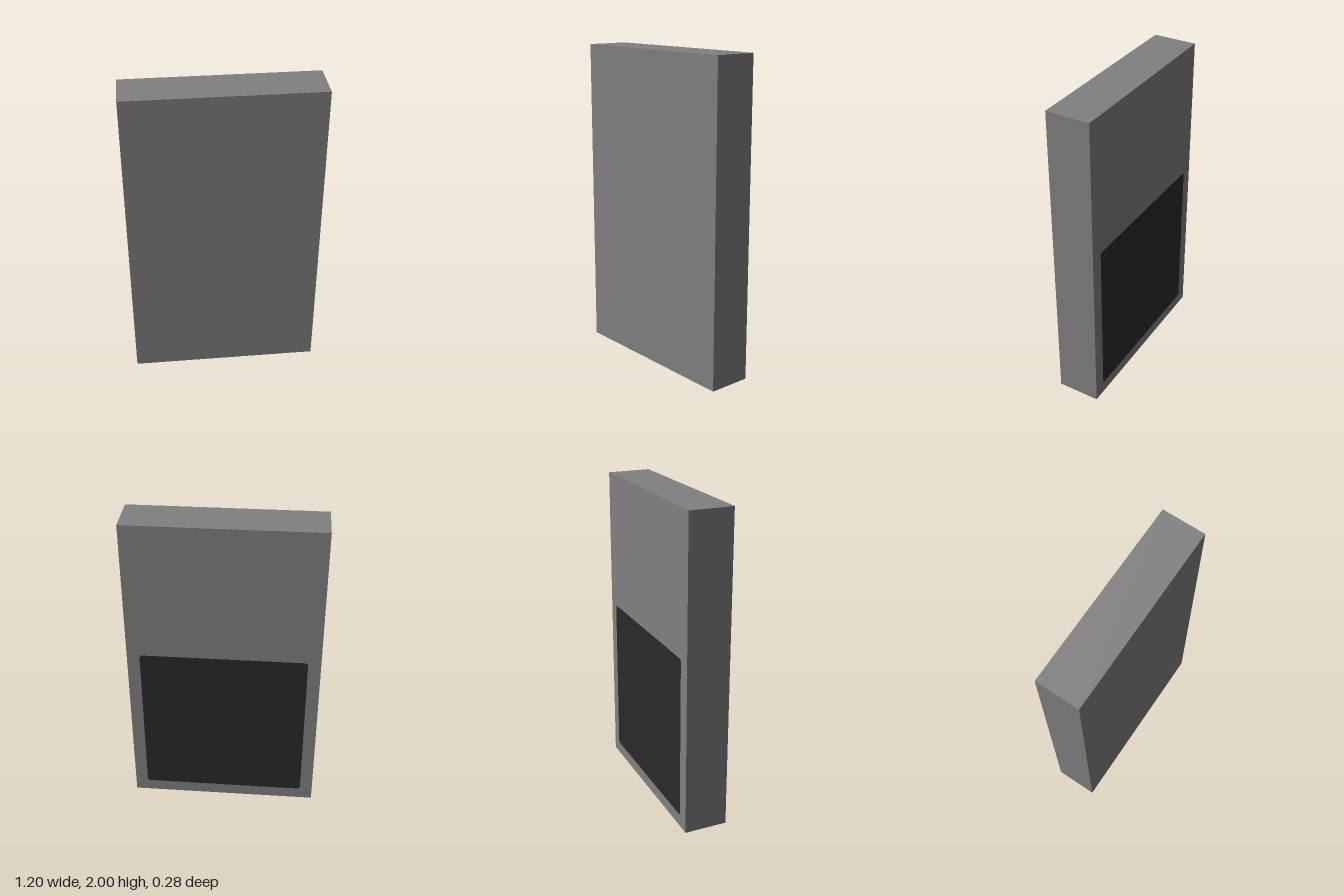
import * as THREE from 'three';

const WIDTH = 1.2, HEIGHT = 2, DEPTH = 0.275;
const PANEL = 1.04, MARGIN = 0.08, RADIUS = 0.02, PROUD = 0.002;

// Square outline with slightly rounded corners, centred on the origin
function roundedSquare(size, r) {
  const h = size / 2, c = h - r;
  const shape = new THREE.Shape();
  shape.absarc(c, c, r, 0, Math.PI / 2);
  shape.absarc(-c, c, r, Math.PI / 2, Math.PI);
  shape.absarc(-c, -c, r, Math.PI, Math.PI * 1.5);
  shape.absarc(c, -c, r, Math.PI * 1.5, Math.PI * 2);
  shape.closePath();
  return shape;
}

export function createModel() {
  const model = new THREE.Group();
  model.name = 'slab';

  const grey = new THREE.MeshStandardMaterial({ color: 0x808080 });
  grey.name = 'grey body';
  const dark = new THREE.MeshStandardMaterial({ color: 0x2a2a2a });
  dark.name = 'dark panel';

  // Plain upright body
  const body = new THREE.Mesh(new THREE.BoxGeometry(WIDTH, HEIGHT, DEPTH), grey);
  body.name = 'body';
  body.position.y = HEIGHT / 2;
  model.add(body);

  // Thin dark panel low on the back, facing -z
  const panel = new THREE.Mesh(new THREE.ShapeGeometry(roundedSquare(PANEL, RADIUS), 6), dark);
  panel.name = 'backPanel';
  panel.rotation.y = Math.PI;
  panel.position.set(0, MARGIN + PANEL / 2, -DEPTH / 2 - PROUD);
  model.add(panel);

  return model;
}
